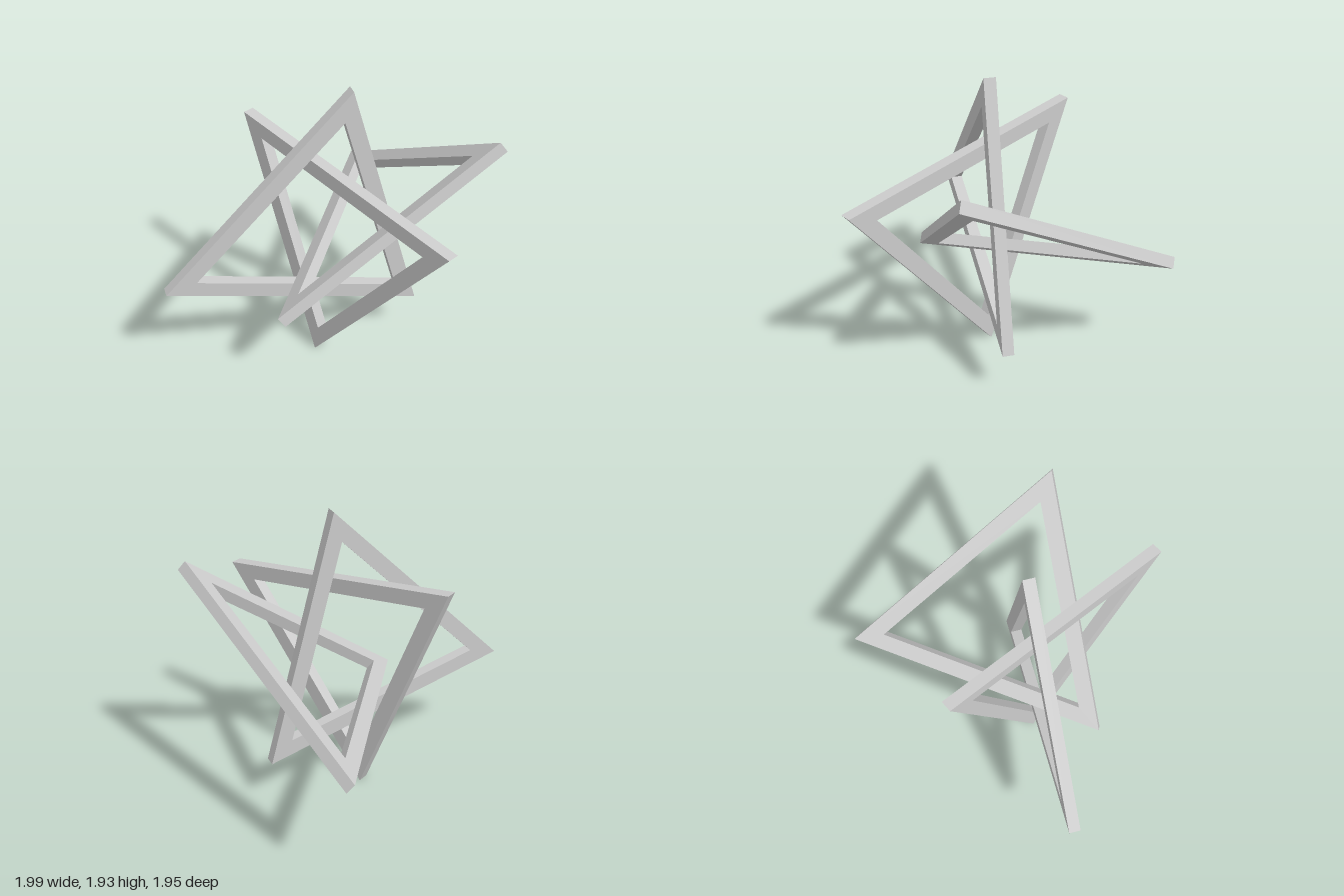
import * as THREE from 'three';

const OUTER = 0.965;  // circumradius of each frame
const INNER = 0.767;  // circumradius of its opening
const DEPTH = 0.072;  // thickness of the bars

// Corners of an equilateral triangle, first one on +x
const triangle = (radius) => [0, 1, 2].map((i) => {
  const a = (i * 2 * Math.PI) / 3;
  return new THREE.Vector2(radius * Math.cos(a), radius * Math.sin(a));
});

function frameGeometry() {
  const shape = new THREE.Shape(triangle(OUTER));
  shape.holes.push(new THREE.Path(triangle(INNER)));
  return new THREE.ExtrudeGeometry(shape, { depth: DEPTH, bevelEnabled: false })
    .translate(0, 0, -DEPTH / 2);
}

// Each frame is placed by the mid-thickness positions of its three corners
const FRAMES = {
  frontFacingFrame: [[-1.0, 0.735, 0.072], [0.165, 1.932, 0.072], [0.62, 0.325, 0.072]],
  uprightFrame: [[-0.302, 1.555, -0.518], [0.452, 1.325, 0.953], [-0.02, 0.0, 0.048]],
  tiltedFrame: [[0.972, 1.608, 0.422], [-0.367, 0.61, 0.408], [0.557, 0.785, -0.968]],
};

export function createModel() {
  const model = new THREE.Group();
  model.name = 'interlockedTriangles';
  const geometry = frameGeometry();
  const material = new THREE.MeshStandardMaterial({ color: 0xcccccc, flatShading: true });

  for (const [name, corners] of Object.entries(FRAMES)) {
    const [a, b, c] = corners.map((p) => new THREE.Vector3(...p));
    const center = new THREE.Vector3().add(a).add(b).add(c).divideScalar(3);
    const xAxis = a.clone().sub(center).normalize();
    const normal = b.clone().sub(a).cross(c.clone().sub(a)).normalize();
    const yAxis = normal.clone().cross(xAxis);

    const frame = new THREE.Mesh(geometry, material);
    frame.name = name;
    frame.quaternion.setFromRotationMatrix(new THREE.Matrix4().makeBasis(xAxis, yAxis, normal));
    frame.position.copy(center);
    model.add(frame);
  }
  return model;
}
